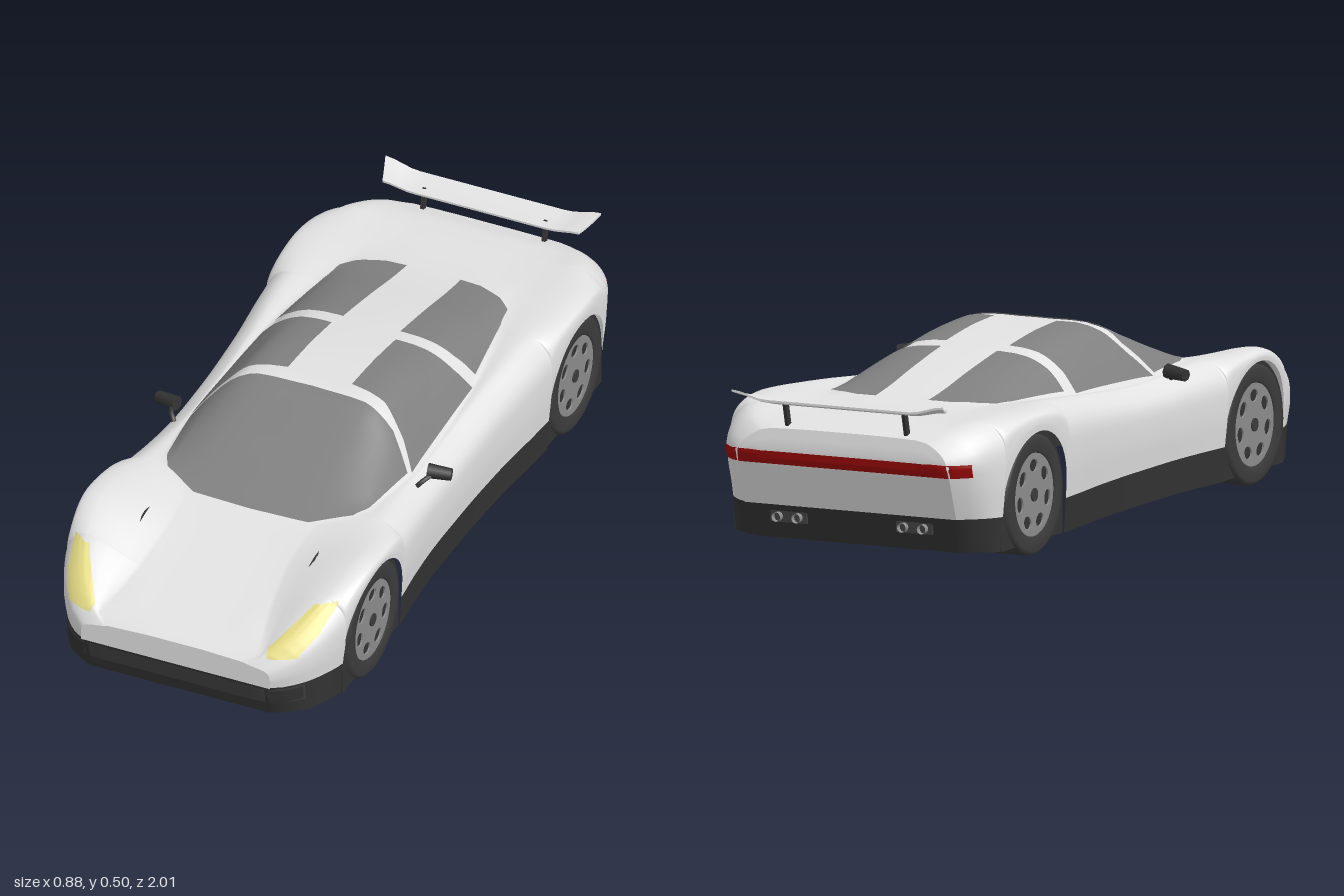
import * as THREE from 'three';

const paint = (name, color, side = THREE.DoubleSide) => {
  const m = new THREE.MeshStandardMaterial({ color, side });
  m.name = name;
  return m;
};
const V = (x, y, z) => new THREE.Vector3(x, y, z);
const lerp = THREE.MathUtils.lerp;

// Lower body by station: z, half width, fender crest y, inner shoulder x, y
const SHELL = [
  [1, .28, .19, .2, .195], [.97, .325, .225, .24, .215], [.9, .378, .275, .225, .24],
  [.8, .415, .33, .205, .275], [.65, .43, .37, .19, .318], [.53, .428, .365, .2, .342],
  [.45, .422, .36, .29, .36], [.34, .41, .353, .31, .357], [.22, .402, .347, .325, .35],
  [.13, .4, .345, .33, .347], [0, .4, .35, .325, .352], [-.2, .405, .366, .31, .364],
  [-.4, .42, .383, .28, .376], [-.55, .428, .392, .25, .383], [-.65, .43, .393, .24, .385],
  [-.8, .42, .385, .25, .381], [-.9, .388, .368, .25, .37], [-.95, .355, .352, .24, .357],
  [-.975, .32, .335, .22, .345]];
// Hood, cabin and tail by station: z, pillar x, y, roof edge x, y, centre y
const CABIN = [
  [1, .15, .197, .08, .2, .2], [.97, .18, .215, .1, .215, .215], [.8, .15, .273, .1, .272, .272],
  [.65, .14, .316, .1, .315, .315], [.53, .14, .341, .08, .341, .341], [.45, .24, .368, .17, .373, .375],
  [.34, .267, .392, .195, .415, .42], [.22, .27, .415, .2, .458, .468], [.13, .262, .43, .19, .49, .5],
  [0, .262, .425, .19, .485, .496], [-.2, .255, .422, .18, .463, .473], [-.4, .235, .408, .16, .43, .436],
  [-.55, .2, .395, .13, .401, .403], [-.65, .17, .386, .1, .387, .387], [-.9, .17, .37, .1, .37, .37],
  [-.975, .15, .347, .08, .348, .348]];

// Smooth interpolation without overshoot
function at(t, z) {
  let i = 0;
  while (i < t.length - 2 && z < t[i + 1][0]) i++;
  const h = t[i + 1][0] - t[i][0], s = (z - t[i][0]) / h;
  return t[0].slice(1).map((_, j) => {
    const k = j + 1;
    const slope = n => (t[n + 1][k] - t[n][k]) / (t[n + 1][0] - t[n][0]);
    const tangent = n => {
      if (n === 0 || n === t.length - 1) return slope(Math.min(n, t.length - 2));
      const a = slope(n - 1), b = slope(n);
      return a * b <= 0 ? 0 : 2 * a * b / (a + b);
    };
    const a = t[i][k], b = t[i + 1][k], s2 = s * s, s3 = s2 * s;
    return a * (2 * s3 - 3 * s2 + 1) + b * (3 * s2 - 2 * s3)
      + h * (tangent(i) * (s3 - 2 * s2 + s) + tangent(i + 1) * (s3 - s2));
  });
}

// Surface through rows of points
function sheet(rows) {
  const n = rows[0].length, index = [];
  for (let i = 0; i < rows.length - 1; i++) for (let j = 0; j < n - 1; j++) {
    const a = i * n + j, b = a + n;
    index.push(a, b, a + 1, b, b + 1, a + 1);
  }
  const g = new THREE.BufferGeometry().setFromPoints(rows.flat());
  g.setIndex(index);
  g.computeVertexNormals();
  return g;
}

const AXLES = [.63, -.645], HUB = .165, ARCH = .175, SILL = .13, FLOOR = .035;
const sideX = (w, y) => w - .06 * Math.max(0, .28 - y);
// Rakes the nose and tail ends
function rake(p) {
  const tail = THREE.MathUtils.smoothstep(-p.z, .8, .97), nose = THREE.MathUtils.smoothstep(p.z, .9, 1);
  p.z += tail * (.35 * Math.max(0, .28 - p.y) + .2 * Math.max(0, p.y - .28)) - nose * .25 * Math.max(0, SILL - p.y);
  return p;
}
function sillY(z) {
  for (const c of AXLES) {
    const d = Math.abs(z - c);
    if (d <= ARCH + 1e-6) return HUB + Math.sqrt(Math.max(0, ARCH * ARCH - d * d));
  }
  return SILL;
}
function section(z) {
  const [w, crest, xb, yb] = at(SHELL, z), [xm, ym, xt, yt, yc] = at(CABIN, z), y0 = sillY(z);
  const flank = new THREE.CatmullRomCurve3([V(sideX(w, y0), y0, z), V(w, lerp(y0, crest, .45), z),
    V(w - .008, lerp(y0, crest, .8), z), V(w - .06, crest, z), V(xb, yb, z)]).getPoints(16);
  const top = new THREE.CatmullRomCurve3([V(xb, yb, z), V(xm, ym, z), V(xt, yt, z), V(0, yc, z)]).getPoints(12);
  const half = [...flank, ...top.slice(1)];
  return [...half, ...half.slice(0, -1).reverse().map(p => V(-p.x, p.y, z))];
}

export function createModel() {
  const car = new THREE.Group();
  const body = paint('body paint', 0xe2e2e2), glass = paint('tinted glass', 0x808080);
  const trim = paint('dark trim', 0x333333), rubber = paint('tyre rubber', 0x3c3c3c);
  const alloy = paint('wheel alloy', 0x8c8c8c), lamp = paint('headlight yellow', 0xe8de88);
  const red = paint('tail light red', 0x9c0808), mesh = paint('grille grey', 0x404040);
  const add = (name, geo, mat, parent = car) => {
    const m = new THREE.Mesh(geo, mat);
    m.name = name;
    parent.add(m);
    return m;
  };

  // Stations, denser around the wheel arches
  const stations = [];
  for (let i = 0; i <= 79; i++) {
    const z = 1 - i * .025;
    if (AXLES.every(c => Math.abs(z - c) > ARCH)) stations.push(z);
  }
  for (const c of AXLES) {
    for (let i = 0; i <= 24; i++) stations.push(c + ARCH * Math.cos(i / 24 * Math.PI));
    stations.push(c + ARCH + .0005, c - ARCH - .0005);
  }
  stations.sort((a, b) => b - a);
  const shell = add('bodyShell', sheet(stations.map(z => section(z).map(rake))), body);

  // Flat nose and tail panels
  for (const [name, z] of [['nosePanel', 1], ['tailPanel', -.975]]) {
    const edge = section(z), rows = [];
    for (let i = 0; i <= 8; i++) rows.push(edge.map(p => rake(V(p.x, lerp(p.y, SILL, i / 8), z))));
    const panel = add(name, sheet(rows), body);
    panel.updateMatrixWorld();
  }

  // Dark lower skirt, broken by the wheels
  const wall = path => sheet([SILL, .08, FLOOR].map(y =>
    path.map(([s, z]) => rake(V(s * sideX(at(SHELL, z)[0], y), y, z)))));
  const run = (lo, hi) => stations.filter(z => z > lo && z < hi);
  const round = zs => [...zs.map(z => [1, z]), ...zs.slice().reverse().map(z => [-1, z])];
  const frontSkirt = add('frontSkirt', wall(round(run(AXLES[0] + ARCH, 2).reverse())), trim);
  add('rearSkirt', wall(round(run(-2, AXLES[1] - ARCH))), trim);
  for (const s of [1, -1])
    add('sideSkirt', wall(run(AXLES[1] + ARCH, AXLES[0] - ARCH).map(z => [s, z])), trim);

  // Thin panels laid on a surface, spanned between two edge lines
  const ray = new THREE.Raycaster();
  const along = (line, t) => {
    const f = t * (line.length - 1), i = Math.min(Math.floor(f), line.length - 2);
    return [0, 1].map(k => lerp(line[i][k], line[i + 1][k], f - i));
  };
  const VIEWS = {
    top: [V(0, -1, 0), (x, z) => V(x, 2, z)],
    front: [V(0, 0, -1), (x, y) => V(x, y, 2)],
    back: [V(0, 0, 1), (x, y) => V(x, y, -2)] };
  function drape(name, mat, targets, view, A, B, s = 1, lift = .004, N = 18) {
    const [dir, from] = VIEWS[view], rows = [];
    let last = V(0, 0, 0);
    for (let i = 0; i <= N; i++) {
      rows.push([]);
      for (let j = 0; j <= N; j++) {
        const a = along(A, j / N), b = along(B, j / N);
        ray.set(from(s * lerp(a[0], b[0], i / N), lerp(a[1], b[1], i / N)), dir);
        const hit = ray.intersectObjects(targets)[0];
        if (hit) {
          const n = hit.face.normal.clone();
          if (n.dot(dir) > 0) n.negate();
          last = hit.point.clone().addScaledVector(n, lift);
        }
        rows[i].push(last.clone());
      }
    }
    add(name, sheet(rows), mat);
  }
  car.updateMatrixWorld(true);
  const skins = car.children.filter(m => m.material === body);

  // Glass, seen from outside and from within
  for (const lift of [.004, -.004]) {
    drape('windshield', glass, [shell], 'top',
      [[-.298, .42], [-.275, .465], [-.17, .525], [0, .53], [.17, .525], [.275, .465], [.298, .42]],
      [[-.318, .22], [-.25, .165], [-.16, .145], [0, .14], [.16, .145], [.25, .165], [.318, .22]], 1, lift, 24);
    for (const s of [1, -1]) {
      drape('sideWindow', glass, [shell], 'top',
        [[.095, .09], [.2, .11], [.275, .155], [.324, .205]], [[.095, -.185], [.2, -.19], [.26, -.195], [.308, -.21]], s, lift);
      drape('rearWindow', glass, [shell], 'top',
        [[.085, -.235], [.17, -.237], [.24, -.24], [.295, -.255]], [[.08, -.625], [.14, -.622], [.21, -.595], [.25, -.56]], s, lift);
    }
  }

  // Lights and front intake
  for (const s of [1, -1]) {
    drape('headlight', lamp, skins, 'front',
      [[.262, .211], [.257, .228], [.335, .316]], [[.335, .215], [.372, .265], [.39, .322]], s);
    drape('intakeEnd', trim, [frontSkirt], 'front', [[.275, .078], [.345, .084]], [[.265, .124], [.345, .124]], s, .007, 6);
  }
  drape('tailLight', red, skins, 'back', [[-.37, .25], [.37, .25]], [[-.37, .285], [.37, .285]], 1, .004, 24);
  drape('frontIntake', mesh, [frontSkirt], 'front', [[-.35, .075], [.35, .075]], [[-.35, .126], [.35, .126]], 1, .003, 20);

  // Wheels and wells
  const arch = r => {
    const p = new THREE.Shape();
    p.moveTo(r, FLOOR);
    p.lineTo(r, HUB);
    p.absarc(0, HUB, r, 0, Math.PI, false);
    p.lineTo(-r, FLOOR);
    return p;
  };
  const slab = (shape, depth, x) => new THREE.ExtrudeGeometry(shape, { depth, bevelEnabled: false, curveSegments: 24 })
    .rotateY(-Math.PI / 2).translate(x, 0, 0);
  const liner = arch(ARCH + .001);
  const inner = arch(ARCH - .005).getPoints(24);
  liner.setFromPoints([...liner.getPoints(24), ...inner.reverse()]);
  const tyre = new THREE.LatheGeometry([[.112, .3], [.153, .3], [.163, .306], [.165, .315], [.165, .4], [.163, .409],
    [.153, .415], [.118, .415], [.112, .405], [.112, .3]].map(p => new THREE.Vector2(...p)), 40).rotateZ(-Math.PI / 2);
  const face = new THREE.Shape().absarc(0, 0, .113, 0, Math.PI * 2, false);
  for (let i = 0; i < 7; i++) {
    const a = i / 7 * Math.PI * 2 + Math.PI / 2;
    face.holes.push(new THREE.Path().absellipse(.08 * Math.cos(a), .08 * Math.sin(a), .017, .022, 0, Math.PI * 2, true, a));
  }
  const rim = slab(face, .012, .41);
  const disc = (r, t, x) => new THREE.CylinderGeometry(r, r, t, 28).rotateZ(Math.PI / 2).translate(x, 0, 0);
  for (const z of AXLES) for (const s of [1, -1]) {
    const corner = new THREE.Group(), wheel = new THREE.Group();
    corner.name = 'wheelCorner';
    wheel.name = 'wheel';
    corner.position.z = z;
    corner.rotation.y = s > 0 ? 0 : Math.PI;
    wheel.position.y = HUB;
    add('wellWall', slab(arch(ARCH), .04, .29), trim, corner);
    add('wellLiner', slab(liner, .115, .405), trim, corner);
    add('tyre', tyre, rubber, wheel);
    add('brakeDisc', disc(.112, .01, .385), rubber, wheel);
    add('rim', rim, alloy, wheel);
    add('hubCap', disc(.018, .006, .411), rubber, wheel);
    corner.add(wheel);
    car.add(corner);
  }

  // Rear wing with upswept tips
  const wing = new THREE.BoxGeometry(.64, .006, .08, 24, 1, 6), p = wing.attributes.position;
  for (let i = 0; i < p.count; i++) {
    const x = p.getX(i), t = .5 - p.getZ(i) / .08, tip = THREE.MathUtils.smoothstep(Math.abs(x), .22, .32);
    p.setXYZ(i, x * lerp(.91, 1, t), p.getY(i) + .41 + .014 * t * t + tip * (.012 + .009 * t), -.96 + p.getZ(i));
  }
  wing.computeVertexNormals();
  add('rearWing', wing, body);

  for (const s of [1, -1]) {
    const post = add('wingPost', new THREE.BoxGeometry(.01, .075, .018), trim);
    post.position.set(s * .18, .378, -.945);
    post.rotation.x = -.25;
    // Door mirror
    const stalk = new THREE.CatmullRomCurve3([V(s * .36, .345, .245), V(s * .372, .358, .235), V(s * .39, .368, .2)]);
    add('mirrorStalk', new THREE.TubeGeometry(stalk, 6, .007, 6), trim);
    const head = add('mirrorHead', new THREE.CylinderGeometry(.017, .021, .066, 8).rotateZ(-s * Math.PI / 2), trim);
    head.position.set(s * .404, .37, .193);
    head.rotation.set(0, s * .25, -s * .08);
    // Twin exhausts in a plate
    const plate = add('exhaustPlate', new THREE.BoxGeometry(.11, .03, .008), mesh);
    plate.position.set(s * .19, .098, -.914);
    for (const dx of [-.03, .03]) {
      const pipe = add('exhaustPipe', new THREE.CylinderGeometry(.013, .013, .03, 16, 1, true).rotateX(Math.PI / 2), alloy);
      pipe.position.set(s * .19 + dx, .098, -.92);
    }
  }
  return car;
}
